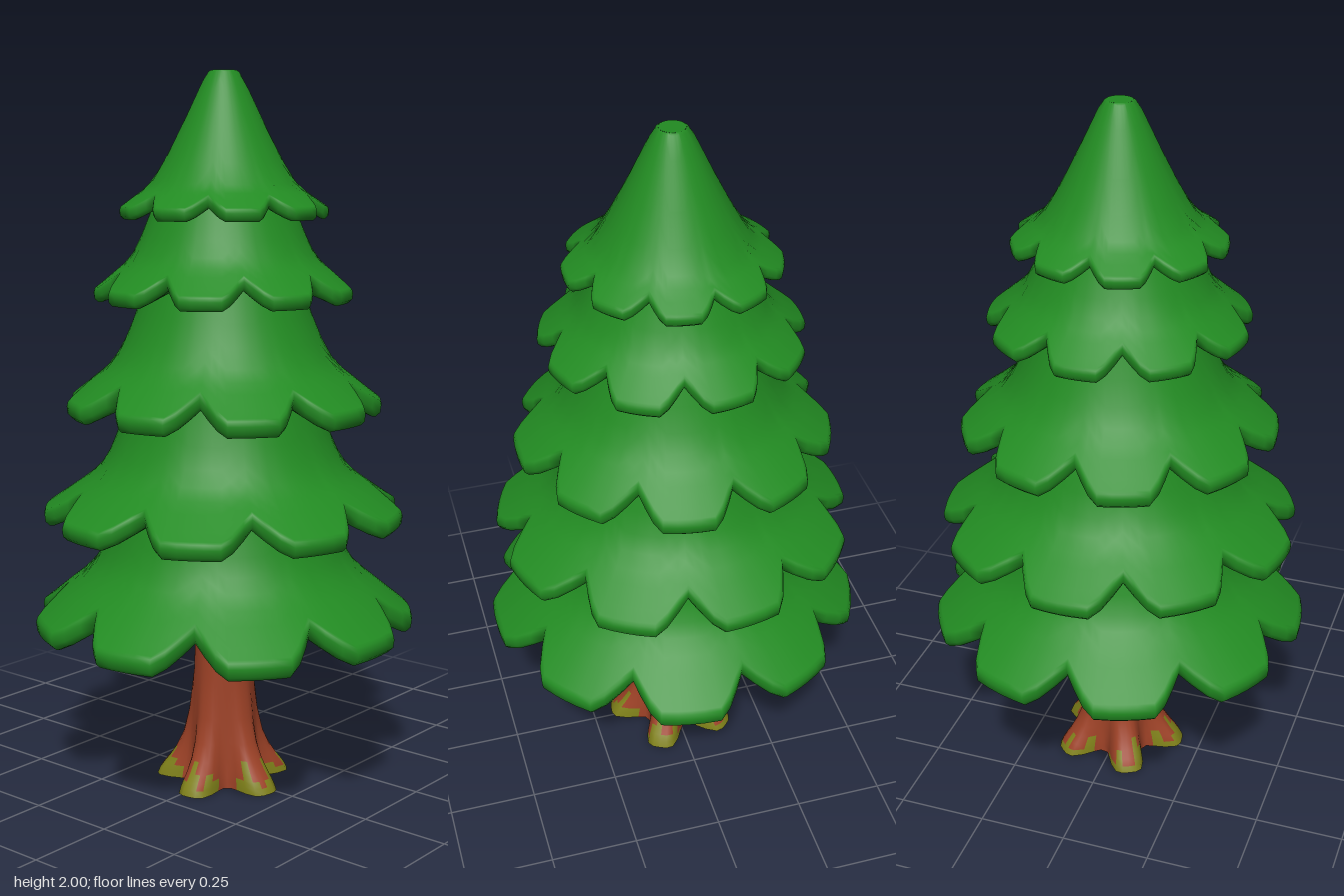
import * as THREE from 'three';

const leafGreen = new THREE.MeshStandardMaterial({ color: 0x228b22 });
leafGreen.name = 'leafGreen';
const barkBrown = new THREE.MeshStandardMaterial({ color: 0x9c4126 });
barkBrown.name = 'barkBrown';
const mossOlive = new THREE.MeshStandardMaterial({ color: 0x7f8019 });
mossOlive.name = 'mossOlive';

const { lerp, smoothstep } = THREE.MathUtils;
const DEG = Math.PI / 180;

// Skins closed rings (listed from top to bottom); isSecond picks cells for material 1.
function skinRings(rings, isSecond = () => false) {
  const n = rings[0].length;
  const first = [], second = [];
  for (let i = 0; i < rings.length - 1; i++) {
    for (let j = 0; j < n; j++) {
      const k = (j + 1) % n;
      const a = i * n + j, b = a + n, c = (i + 1) * n + k, d = i * n + k;
      (isSecond(i, j) ? second : first).push(a, b, c, a, c, d);
    }
  }
  const geo = new THREE.BufferGeometry();
  geo.setAttribute('position', new THREE.Float32BufferAttribute(rings.flat(2), 3));
  geo.setIndex([...first, ...second]);
  geo.addGroup(0, first.length, 0);
  if (second.length) geo.addGroup(first.length, second.length, 1);
  geo.computeVertexNormals();
  return geo;
}

// Angle 0 faces the front (+z) and grows towards +x.
const polar = (r, y, a) => [r * Math.sin(a), y, r * Math.cos(a)];

function addMesh(parent, name, geo, material) {
  const mesh = new THREE.Mesh(geo, material);
  mesh.name = name;
  parent.add(mesh);
  return mesh;
}

function addDisc(parent, name, radius, y, facing, segments, material) {
  const disc = addMesh(parent, name, new THREE.CircleGeometry(radius, segments), material);
  disc.rotation.x = -facing * Math.PI / 2;
  disc.position.y = y;
}

// One skirt of branches: nine blunt lobes cut into a flaring cone, with a rounded rim.
const LOBES = 9;
const CORNER = 0.45;
const LOBE_STEPS = [-1, -0.82, -0.63, -CORNER, -0.2, 0, 0.2, CORNER, 0.63, 0.82];

function tierGeometry({ profile, valley, thick, inner, turn }) {
  const curve = new THREE.SplineCurve(profile.map(([r, y]) => new THREE.Vector2(r, y)));
  const half = Math.PI / LOBES;
  const columns = [];
  for (let l = 0; l < LOBES; l++) {
    for (const t of LOBE_STEPS) {
      const cut = Math.max(0, (Math.abs(t) - CORNER) / (1 - CORNER));
      columns.push({ a: turn + (2 * l + t) * half, end: lerp(1, valley, cut) });
    }
  }
  const rings = [];
  // upper surface
  for (const u of [0, 0.12, 0.25, 0.38, 0.5, 0.62, 0.74, 0.86, 0.96, 1]) {
    rings.push(columns.map(({ a, end }) => {
      const p = curve.getPoint(u * end);
      return polar(p.x, p.y, a);
    }));
  }
  // rounded rim, each step given as [outward, down] in thicknesses
  for (const [out, down] of [[0.08, 0.3], [0.02, 0.75], [-0.25, 1], [-0.5, 1]]) {
    rings.push(columns.map(({ a, end }) => {
      const p = curve.getPoint(end);
      return polar(p.x + out * thick, p.y - down * thick, a);
    }));
  }
  // underside back to the core
  rings.push(columns.map(({ a }) => polar(inner[0], inner[1], a)));
  return skinRings(rings);
}

const TIERS = [
  { profile: [[0.29, 0.88], [0.325, 0.73], [0.37, 0.64], [0.45, 0.57], [0.53, 0.505]],
    valley: 0.73, thick: 0.05, inner: [0.33, 0.56] },
  { profile: [[0.255, 1.17], [0.295, 1.02], [0.345, 0.92], [0.42, 0.86], [0.5, 0.805]],
    valley: 0.73, thick: 0.045, inner: [0.29, 0.83] },
  { profile: [[0.2, 1.48], [0.245, 1.34], [0.3, 1.225], [0.365, 1.165], [0.435, 1.11]],
    valley: 0.73, thick: 0.045, inner: [0.255, 1.13] },
  { profile: [[0.17, 1.71], [0.205, 1.61], [0.25, 1.51], [0.3, 1.46], [0.355, 1.415]],
    valley: 0.73, thick: 0.036, inner: [0.205, 1.43] },
  { profile: [[0.035, 2], [0.055, 1.975], [0.13, 1.82], [0.195, 1.705], [0.24, 1.668], [0.285, 1.636]],
    valley: 0.79, thick: 0.032, inner: [0.18, 1.65] },
];

// Trunk flaring into five blunt roots, with ragged moss around the root tips.
function trunkGeometry() {
  const COLS = 60;
  const sections = [ // y, core radius, root reach
    [0.6, 0.078, 0], [0.45, 0.08, 0], [0.32, 0.084, 0.001], [0.2, 0.09, 0.01],
    [0.13, 0.095, 0.022], [0.085, 0.098, 0.04], [0.055, 0.1, 0.058],
    [0.035, 0.102, 0.072], [0.018, 0.103, 0.083], [0, 0.104, 0.09],
  ];
  const rootAt = (a) => {
    const step = 72 * DEG;
    const x = (a + 9 * DEG) / step;
    const off = Math.abs(x - Math.round(x)) * 2;
    return 1 - smoothstep(off, 0.22, 0.85);
  };
  const angle = (j) => (j / COLS) * 2 * Math.PI - 9 * DEG;
  const rings = sections.map(([y, core, reach]) =>
    Array.from({ length: COLS }, (_, j) => polar(core + reach * rootAt(angle(j)), y, angle(j))));
  const isMoss = (i, j) => {
    const height = 1.6 + 1.3 * Math.sin(j * 1.9) + 0.8 * Math.sin(j * 0.7);
    return rootAt(angle(j + 0.5)) > 0.3 && sections.length - 2 - i < height;
  };
  // flat base
  rings.push(rings[rings.length - 1].map((p) => [...p]));
  rings.push(rings[0].map(() => [0, 0, 0]));
  return skinRings(rings, (i, j) => i < sections.length - 1 && isMoss(i, j));
}

export function createModel() {
  const tree = new THREE.Group();
  tree.name = 'pineTree';

  addMesh(tree, 'trunk', trunkGeometry(), [barkBrown, mossOlive]);

  const foliage = new THREE.Group();
  foliage.name = 'foliage';
  tree.add(foliage);
  // alternate tiers are turned by half a lobe
  TIERS.forEach((tier, i) => {
    const turn = (i % 2) * Math.PI / LOBES;
    addMesh(foliage, `branchTier${i + 1}`, tierGeometry({ ...tier, turn }), leafGreen);
  });
  addDisc(foliage, 'treeTop', 0.035, 2, 1, 24, leafGreen);
  addDisc(foliage, 'foliageUnderside', 0.335, 0.56, -1, 36, leafGreen);
  return tree;
}
